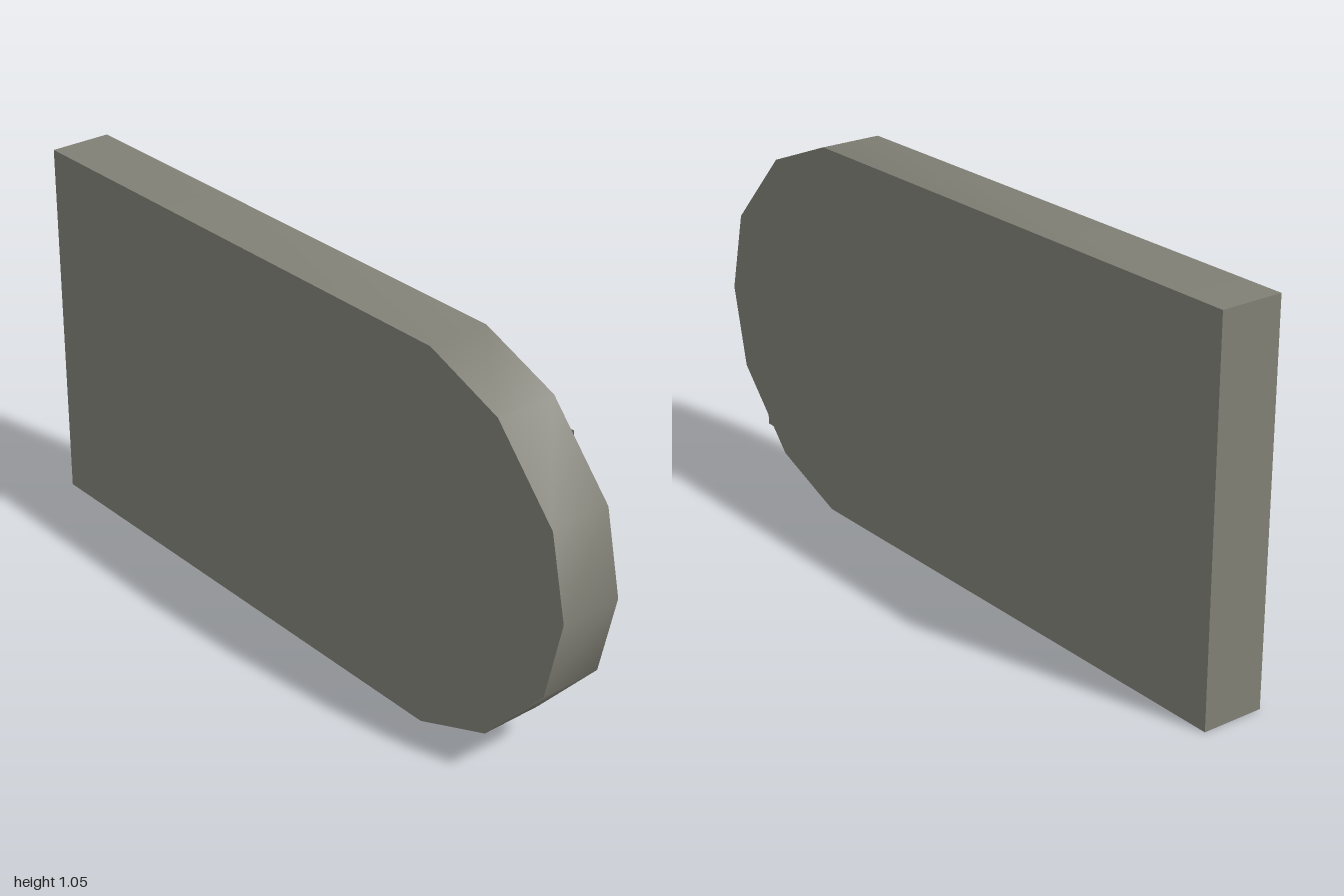
import * as THREE from 'three';
import { toCreasedNormals } from 'three/addons/utils/BufferGeometryUtils.js';

export function createModel() {
  const group = new THREE.Group();
  const stone = new THREE.MeshStandardMaterial({ color: 0x7f7f75, side: THREE.DoubleSide });
  stone.name = 'warmGrey';

  // Side outline as [z, y]: square back, faceted round nose
  const outline = [
    [-1, 0], [0.53, 0], [0.76, 0.09], [0.95, 0.3], [1, 0.525],
    [0.95, 0.75], [0.76, 0.96], [0.53, 1.05], [-1, 1.05],
  ];
  const shape = new THREE.Shape(outline.map(([z, y]) => new THREE.Vector2(-z, y)));
  const slab = new THREE.ExtrudeGeometry(shape, { depth: 0.176, bevelEnabled: false });
  slab.rotateY(Math.PI / 2).translate(-0.098, 0, 0);
  const body = new THREE.Mesh(toCreasedNormals(slab, 0.7), stone);
  body.name = 'body';
  group.add(body);

  // Thin panels standing just off the left face
  const addPanel = (name, z0, z1) => {
    const geometry = new THREE.PlaneGeometry(z1 - z0, 0.71).rotateY(Math.PI / 2);
    const panel = new THREE.Mesh(geometry, stone);
    panel.name = name;
    panel.position.set(0.098, 0.525, (z0 + z1) / 2);
    group.add(panel);
  };
  addPanel('widePanel', 0.08, 0.81);
  addPanel('narrowPanel', -0.24, 0);

  return group;
}
